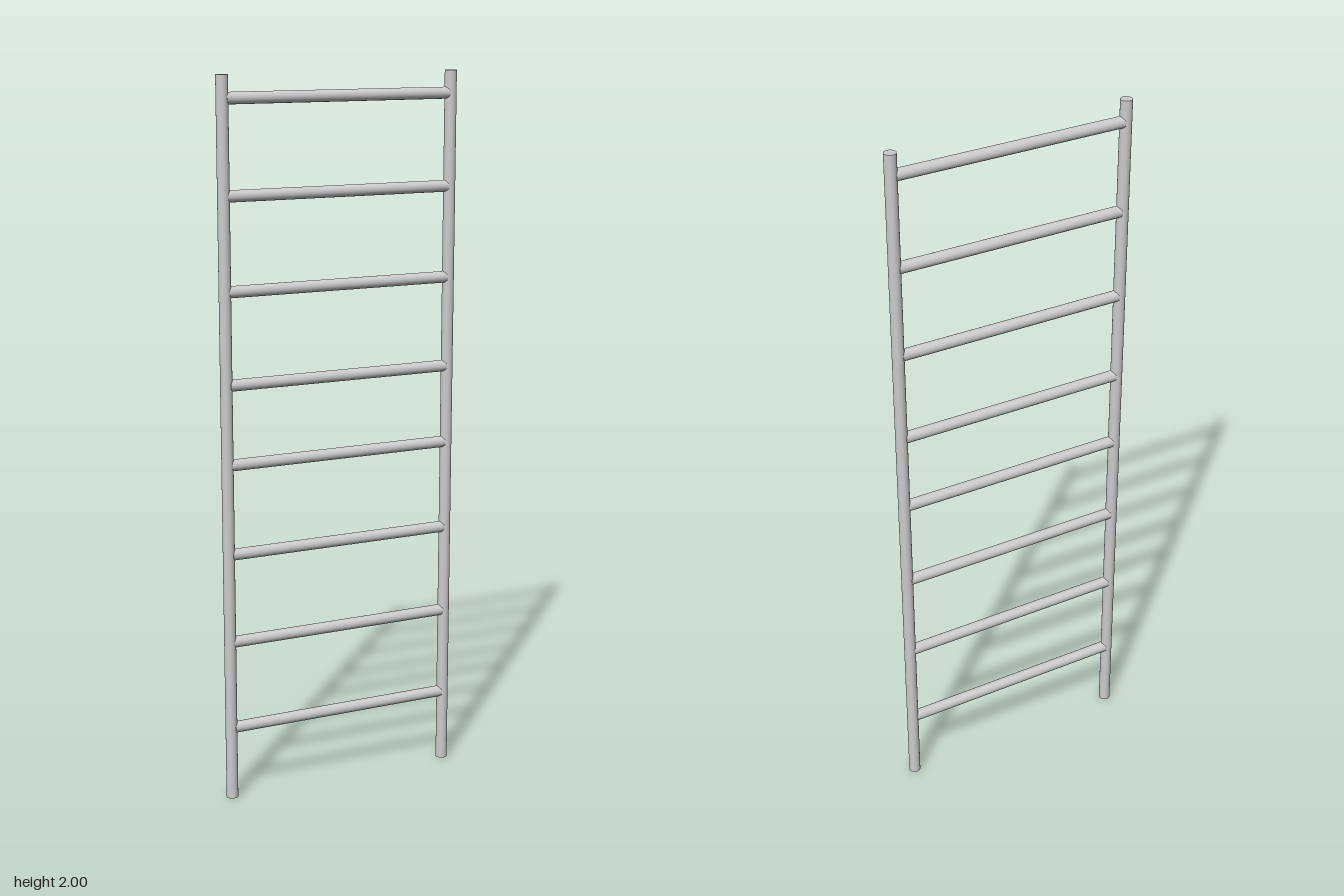
import * as THREE from 'three';

export function createModel() {
  const ladder = new THREE.Group();
  ladder.name = 'ladder';
  const material = new THREE.MeshStandardMaterial({ color: 0xcccccc });

  const addPole = (name, radius, length) => {
    const mesh = new THREE.Mesh(new THREE.CylinderGeometry(radius, radius, length, 32), material);
    mesh.name = name;
    ladder.add(mesh);
    return mesh;
  };

  // Upright rails
  for (const [name, side] of [['leftRail', 1], ['rightRail', -1]]) {
    addPole(name, 0.0165, 2).position.set(side * 0.3335, 1, 0);
  }

  // Rungs, in two sets of four with a slightly smaller gap between the sets
  for (let i = 0; i < 8; i++) {
    const rung = addPole(`rung${i + 1}`, 0.016, 0.65);
    rung.rotation.z = Math.PI / 2;
    rung.position.y = (i < 4 ? 0.207 : 1.183) + (i % 4) * 0.252;
  }

  return ladder;
}
